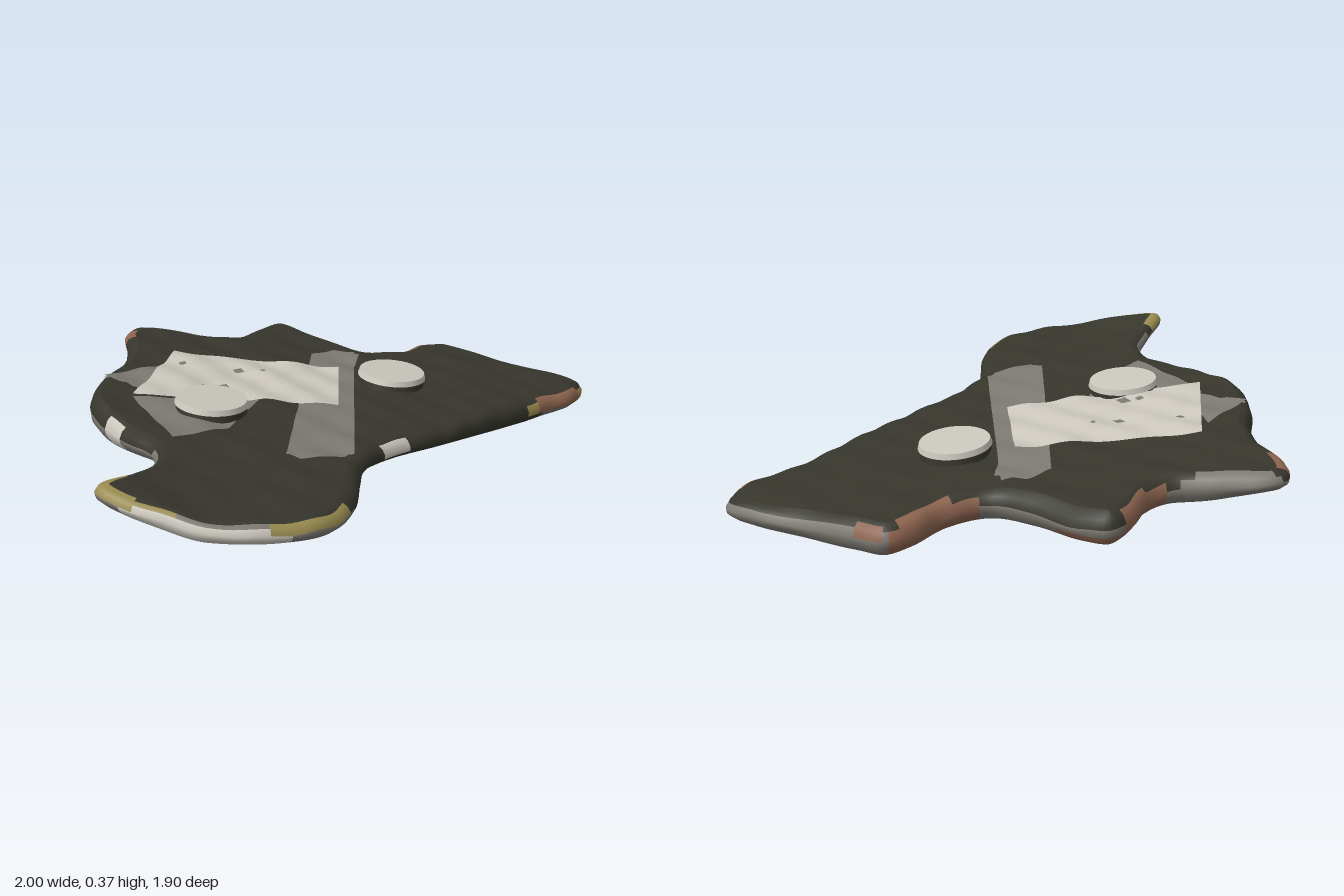
import * as THREE from 'three';
import { mergeVertices } from 'three/addons/utils/BufferGeometryUtils.js';

const mat = (name, color) => Object.assign(new THREE.MeshStandardMaterial({ color, side: THREE.DoubleSide }), { name });
const dark = mat('dark tar', 0x37362d);
const pale = mat('pale grey', 0xcbc7be);
const mid = mat('mid grey', 0x7d7972);
const under = mat('warm grey', 0x847c77);
const clay = mat('terracotta', 0x8e6550);
const mustard = mat('mustard', 0x9a8c50);
const palette = [dark, under, pale, mid, clay, mustard];

const CENTRE = [-0.2, -0.1]; // the slab outline is star-shaped around this point
const OUTLINE = [[-1, 0.7], [-0.94, 0.79], [-0.82, 0.86], [-0.7, 0.92], [-0.5, 0.945], [-0.32, 0.9], [-0.21, 0.76],
  [-0.15, 0.6], [-0.1, 0.48], [0.02, 0.38], [0.25, 0.26], [0.5, 0.12], [0.75, -0.02], [0.92, -0.09], [1, -0.21],
  [0.93, -0.33], [0.78, -0.47], [0.66, -0.6], [0.57, -0.69], [0.46, -0.67], [0.33, -0.6], [0.2, -0.6], [0.1, -0.71],
  [0, -0.88], [-0.08, -0.95], [-0.17, -0.91], [-0.27, -0.81], [-0.36, -0.78], [-0.5, -0.85], [-0.63, -0.915],
  [-0.7, -0.915], [-0.75, -0.84], [-0.76, -0.68], [-0.8, -0.5], [-0.88, -0.36], [-0.94, -0.2], [-0.95, -0.08],
  [-0.91, 0.08], [-0.85, 0.22], [-0.79, 0.34], [-0.8, 0.46], [-0.88, 0.56]];
const HOLE = [[0.16, -0.42], [0.15, -0.05], [0.02, 0.26], [-0.23, 0.38], [-0.44, 0.15], [-0.7, -0.06],
  [-0.82, -0.42], [-0.67, -0.86], [-0.34, -0.74]];

// height of the tilted, gently wrinkled upper surface
const step = THREE.MathUtils.smoothstep;
const wrinkle = (x, z) => 0.005 * Math.sin(17 * x + 4 * Math.sin(6 * z)) * Math.sin(15 * z + 2)
  + 0.003 * Math.sin(34 * x - 19 * z);
const baseY = (x, z) => 0.2 - 0.105 * x + 0.04 * z + 0.05 * step(-x, 0.7, 1) * step(z, 0.2, 0.7);
const topY = (x, z) => baseY(x, z) + wrinkle(x, z);
// thinner toward the front, the right tip and the rear corner, thicker along the left edge
const thick = (x, z) => 1 - 0.3 * step(z, -0.15, 0.4) - 0.3 * step(x, 0.65, 1)
  - 0.4 * step(-x, 0.4, 0.7) * step(-z, 0.5, 0.85) + 0.25 * step(-x, 0.6, 0.9) * (1 - step(z, 0, 0.4));

// surface from a grid of points, with one colour index per cell
function gridMesh(name, rows, cols, point, materials, colourOf = () => 0) {
  const pos = [], cells = materials.map(() => []);
  for (let r = 0; r <= rows; r++) for (let c = 0; c <= cols; c++) pos.push(...point(r, c));
  for (let r = 0; r < rows; r++) for (let c = 0; c < cols; c++) {
    const a = r * (cols + 1) + c, b = a + cols + 1;
    cells[colourOf(r, c)].push(a, a + 1, b, b, a + 1, b + 1);
  }
  let g = new THREE.BufferGeometry();
  g.setAttribute('position', new THREE.Float32BufferAttribute(pos, 3));
  g.setIndex(cells.flat());
  g = mergeVertices(g);
  let start = 0;
  cells.forEach((list, i) => { g.addGroup(start, list.length, i); start += list.length; });
  g.computeVertexNormals();
  const m = new THREE.Mesh(g, materials);
  m.name = name;
  return m;
}

// distance from CENTRE to the hole edge in a direction
function holeRadius(dx, dz) {
  for (let i = 0; i < HOLE.length; i++) {
    const a = HOLE[i], b = HOLE[(i + 1) % HOLE.length];
    const ax = a[0] - CENTRE[0], az = a[1] - CENTRE[1], ex = b[0] - a[0], ez = b[1] - a[1];
    const d = dx * ez - dz * ex, t = (ax * ez - az * ex) / d, s = (ax * dz - az * dx) / d;
    if (t > 0 && s >= 0 && s <= 1) return t;
  }
  return 0.3;
}

// four-cornered patch laid over the upper surface, with optional lumps
function patch(name, material, q, lift, lumps = 0) {
  const n = 28;
  return gridMesh(name, n, n, (r, c) => {
    const u = r / n, v = c / n;
    const at = k => (q[0][k] * (1 - v) + q[1][k] * v) * (1 - u) + (q[3][k] * (1 - v) + q[2][k] * v) * u;
    const x = at(0), z = at(1);
    return [x, topY(x, z) + lift + lumps * Math.sin(31 * x + 9 * z) * Math.sin(26 * z - 7 * x), z];
  }, [material]);
}

export function createModel() {
  const group = new THREE.Group();
  group.name = 'brokenSlab';
  const N = 300;
  const curve = new THREE.CatmullRomCurve3(OUTLINE.map(([x, z]) => new THREE.Vector3(x, 0, z)), true);
  const edge = Array.from({ length: N + 1 }, (_, i) => {
    const p = curve.getPointAt((i % N) / N), t = curve.getTangentAt((i % N) / N);
    return { x: p.x, z: p.z, nx: t.z, nz: -t.x }; // inward side of the counter-clockwise path
  });
  // rounded edge profile: inset and depth below the upper surface
  const profile = [[0.045, 0], [0.028, -0.006], [0.012, -0.018], [0, -0.045], [0.002, -0.07], [0.025, -0.1], [0.06, -0.11]];
  const rim = (r, c) => {
    const e = edge[c], [inset, dy] = profile[r];
    const x = e.x + e.nx * inset, z = e.z + e.nz * inset;
    return [x, (r < 4 ? topY(x, z) : baseY(x, z)) + dy * thick(x, z), z];
  };

  // upper surface
  const R = 28;
  group.add(gridMesh('upperSurface', R, N, (r, c) => {
    const [ex, , ez] = rim(0, c), s = r / R;
    const x = CENTRE[0] + (ex - CENTRE[0]) * s, z = CENTRE[1] + (ez - CENTRE[1]) * s;
    return [x, topY(x, z), z];
  }, [dark]));

  // broken edge with worn colour spots: x, z, radius, colour index, first and last band
  const spots = [[-0.99, 0.7, 0.13, 5, 0, 2], [-0.88, 0.83, 0.09, 5, 1, 1], [-0.36, 0.92, 0.16, 5, 1, 2],
    [-0.72, 0.9, 0.25, 2, 2, 4], [-0.7, 0.91, 0.18, 3, 1, 1], [0.04, 0.37, 0.07, 2, 1, 3],
    [0.84, -0.06, 0.11, 4, 1, 3], [0.72, 0, 0.05, 5, 2, 3], [0.95, -0.12, 0.05, 5, 2, 3],
    [0.43, -0.65, 0.11, 4, 0, 1], [0.41, -0.64, 0.17, 4, 2, 5], [0.63, -0.64, 0.06, 4, 1, 2],
    [-0.19, -0.88, 0.08, 4, 1, 1], [-0.22, -0.86, 0.13, 4, 2, 5], [-0.05, -0.88, 0.13, 4, 4, 5],
    [-0.53, -0.86, 0.13, 3, 0, 1], [-0.52, -0.86, 0.17, 3, 2, 4], [-0.75, -0.83, 0.06, 4, 0, 4],
    [-0.9, 0.1, 0.06, 2, 1, 4], [-0.82, 0.45, 0.12, 3, 2, 4]];
  // dark reaches furthest down on the long front edge, least on the right-hand rear edge
  const darkBands = e => (e.x > -0.22 && e.x < 0.75 && e.z > -0.05 ? 5 : e.x > 0.55 ? 2 : 3);
  group.add(gridMesh('brokenEdge', profile.length - 1, N, rim, palette, (r, c) => {
    const e = edge[c];
    const s = spots.find(q => r >= q[4] && r <= q[5] && Math.hypot(e.x - q[0], e.z - q[1]) < q[2]);
    return s ? s[3] : r < darkBands(e) ? 0 : r < 5 ? 3 : 1;
  }));

  // underside, open in the middle to show the back of the upper surface
  const U = 10;
  group.add(gridMesh('underside', U, N, (r, c) => {
    const [ex, , ez] = rim(profile.length - 1, c);
    const dx = ex - CENTRE[0], dz = ez - CENTRE[1], s = 1 + (Math.min(holeRadius(dx, dz), 0.96) - 1) * r / U;
    const x = CENTRE[0] + dx * s, z = CENTRE[1] + dz * s;
    return [x, baseY(x, z) - 0.11 * thick(x, z), z];
  }, [under]));

  // patches, showing on both faces of the upper sheet
  const patches = [
    ['crossStrip', mid, [[-0.04, -0.53], [0.14, -0.54], [-0.13, 0.45], [-0.36, 0.44]], 0.004],
    ['stripEnd', mid, [[-0.03, -0.53], [0.06, -0.57], [0.15, -0.5], [0.06, -0.3]], 0.005],
    ['stripTail', mid, [[-0.36, 0.43], [-0.13, 0.43], [-0.17, 0.47], [-0.32, 0.48]], 0.005],
    ['leftStain', mid, [[-0.88, -0.31], [-0.67, -0.42], [-0.69, -0.2], [-0.83, -0.25]], 0.004],
    ['leftStainTail', mid, [[-0.83, -0.3], [-0.69, -0.3], [-0.7, -0.1], [-0.79, -0.2]], 0.005],
    ['frontStain', mid, [[-0.8, -0.1], [-0.35, -0.05], [-0.51, 0.2], [-0.71, 0.28]], 0.004],
    ['paleSquare', pale, [[-0.59, -0.53], [0.02, -0.33], [-0.08, 0.05], [-0.8, -0.09]], 0.018, 0.005],
  ];
  for (const [name, m, q, lift, lumps] of patches)
    group.add(patch(name, m, q, lift, lumps), patch(name + 'Back', m, q, -lift));
  // small chips worn through the pale square
  for (const [x, z, w] of [[-0.58, -0.38, 0.03], [-0.38, -0.3, 0.04], [-0.29, -0.28, 0.02], [-0.47, -0.13, 0.05], [-0.53, -0.14, 0.03]])
    group.add(patch('chip', mid, [[x - w / 2, z - w / 3], [x + w / 3, z - w / 2], [x + w / 2, z + w / 3], [x - w / 3, z + w / 2]], 0.025));

  // low round caps on dark collars, showing pale on the back of the sheet too
  const up = new THREE.Vector3(0.105, 1, -0.04).normalize();
  const layers = [['capDisc', pale, 0.125, 0.131, 0.02, 0.035], ['capCollar', dark, 0.124, 0.128, 0.028, 0.012],
    ['capBack', pale, 0.11, 0.1, 0.014, -0.017]];
  for (const [x, z] of [[0.2, -0.22], [-0.54, 0.03]]) {
    const cap = new THREE.Group();
    cap.name = 'roundCap';
    for (const [name, m, rTop, rBottom, h, y] of layers) {
      const layer = new THREE.Mesh(new THREE.CylinderGeometry(rTop, rBottom, h, 40), m);
      layer.name = name;
      layer.position.y = y;
      cap.add(layer);
    }
    cap.position.set(x, baseY(x, z), z);
    cap.quaternion.setFromUnitVectors(new THREE.Vector3(0, 1, 0), up);
    group.add(cap);
  }
  return group;
}
